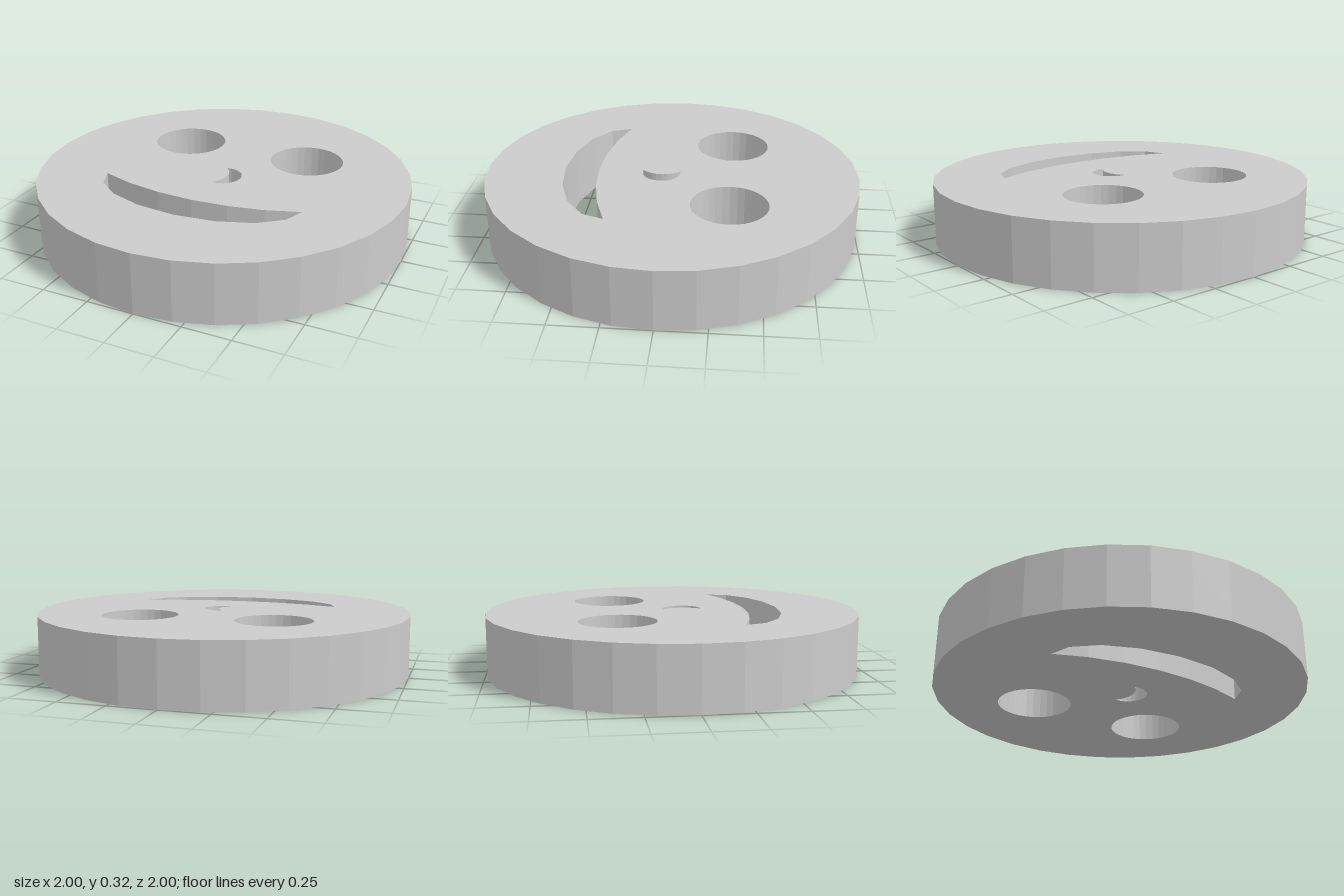
import * as THREE from 'three';

// Points along an elliptical arc, drawn in plan (x right, y towards the back)
function arc(cx, cy, rx, ry, from, to, steps) {
  return Array.from({ length: steps + 1 }, (_, i) => {
    const a = THREE.MathUtils.degToRad(from + ((to - from) * i) / steps);
    return new THREE.Vector2(cx + rx * Math.cos(a), cy + ry * Math.sin(a));
  });
}

const circle = (cx, cy, r, sides) => arc(cx, cy, r, r, 0, 360, sides).slice(0, -1);

export function createModel() {
  const height = 0.32;
  const face = new THREE.Shape(circle(0, 0, 1, 32));

  // Round eye holes
  for (const side of [-1, 1]) {
    face.holes.push(new THREE.Path(circle(side * 0.36, 0.32, 0.2, 32)));
  }

  // Crescent nose hole: outer curve up, shallower inner curve back down
  const noseOuter = arc(0.018, -0.055, 0.102, 0.102, -100, 100, 16);
  const noseInner = arc(-0.098, -0.055, 0.14, 0.14, 45.8, -45.8, 8).slice(1, -1);
  face.holes.push(new THREE.Path([...noseOuter, ...noseInner]));

  // Smiling mouth hole: deep lower lip, shallow upper lip
  const lowerLip = arc(0, -0.29, 0.556, 0.29, 180, 360, 8);
  const upperLip = arc(0, 0.225, 1, 0.62, -56.25, -123.75, 6).slice(1, -1);
  face.holes.push(new THREE.Path([...lowerLip, ...upperLip]));

  // Thick disc lying flat on the ground
  const geometry = new THREE.ExtrudeGeometry(face, { depth: height, bevelEnabled: false });
  geometry.rotateX(-Math.PI / 2);

  const disc = new THREE.Mesh(
    geometry,
    new THREE.MeshStandardMaterial({ color: 0xcccccc, flatShading: true })
  );
  disc.name = 'smilingDisc';

  const group = new THREE.Group();
  group.name = 'smilingFace';
  group.add(disc);
  return group;
}
